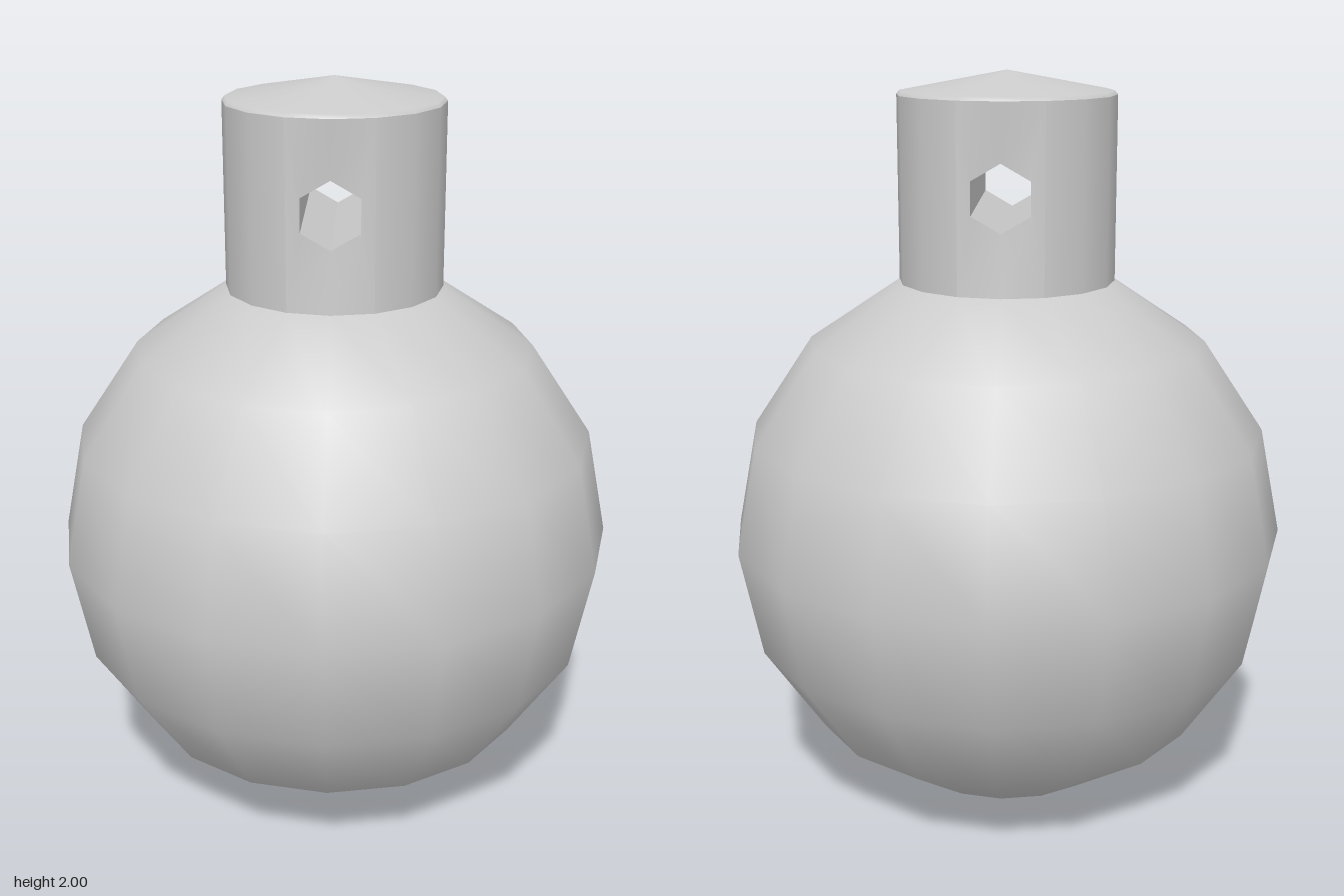
import * as THREE from 'three';
import { toCreasedNormals } from 'three/addons/utils/BufferGeometryUtils.js';

const SIDES = 16;
const R = 0.755;                                // ball radius, also its centre height
const STEP = (Math.PI * 2) / SIDES;
const NECK_R = R * Math.sin(STEP);              // neck stands on the ball's first ring
const NECK_BOTTOM = R + R * Math.cos(STEP);
const NECK_TOP = 1.938;

// Joins matching closed rings of points with quads
function loft(rings) {
  const n = rings[0].length;
  const index = [];
  for (let r = 0; r < rings.length - 1; r++) {
    for (let i = 0; i < n; i++) {
      const j = (i + 1) % n;
      const a = r * n, b = a + n;
      index.push(a + i, b + i, a + j, b + i, b + j, a + j);
    }
  }
  const geometry = new THREE.BufferGeometry();
  geometry.setAttribute('position', new THREE.Float32BufferAttribute(rings.flat(2), 3));
  geometry.setIndex(index);
  return toCreasedNormals(geometry, 0.6);
}

export function createModel() {
  const group = new THREE.Group();
  const material = new THREE.MeshStandardMaterial({ color: 0xcccccc });
  const add = (name, geometry, y = 0) => {
    const mesh = new THREE.Mesh(geometry, material);
    mesh.name = name;
    mesh.position.y = y;
    group.add(mesh);
  };

  // Ball, open where the neck joins
  add('ball', new THREE.SphereGeometry(R, SIDES, 7, 0, Math.PI * 2, STEP, Math.PI - STEP), R);

  // Side walls of the neck, leaving two facets free at front and back
  const height = NECK_TOP - NECK_BOTTOM;
  for (const [name, start] of [['neckWallLeft', STEP], ['neckWallRight', Math.PI + STEP]]) {
    const wall = new THREE.CylinderGeometry(NECK_R, NECK_R, height, 6, 1, true, start, Math.PI - 2 * STEP);
    add(name, wall, NECK_BOTTOM + height / 2);
  }

  // Front and back facets with the hexagonal cord hole running through
  const edgeX = NECK_R * Math.sin(STEP), edgeZ = NECK_R * Math.cos(STEP);
  const panel = (s) => [
    [0, NECK_TOP, s * NECK_R], [edgeX, NECK_TOP, s * edgeZ],
    [edgeX, NECK_BOTTOM, s * edgeZ], [0, NECK_BOTTOM, s * NECK_R],
    [-edgeX, NECK_BOTTOM, s * edgeZ], [-edgeX, NECK_TOP, s * edgeZ],
  ];
  const hexagon = (z) => Array.from({ length: 6 }, (_, i) => {
    const a = (i * Math.PI) / 3;
    return [0.087 * Math.sin(a), 1.7 + 0.087 * Math.cos(a), z];
  });
  add('cordHole', loft([panel(1), hexagon(0.272), hexagon(-0.272), panel(-1)]));

  // Shallow pointed cap with a small bevelled rim
  const profile = [[NECK_R, NECK_TOP], [NECK_R - 0.008, 1.948], [0, 2]];
  add('cap', new THREE.LatheGeometry(profile.map((p) => new THREE.Vector2(...p)), SIDES));

  return group;
}
